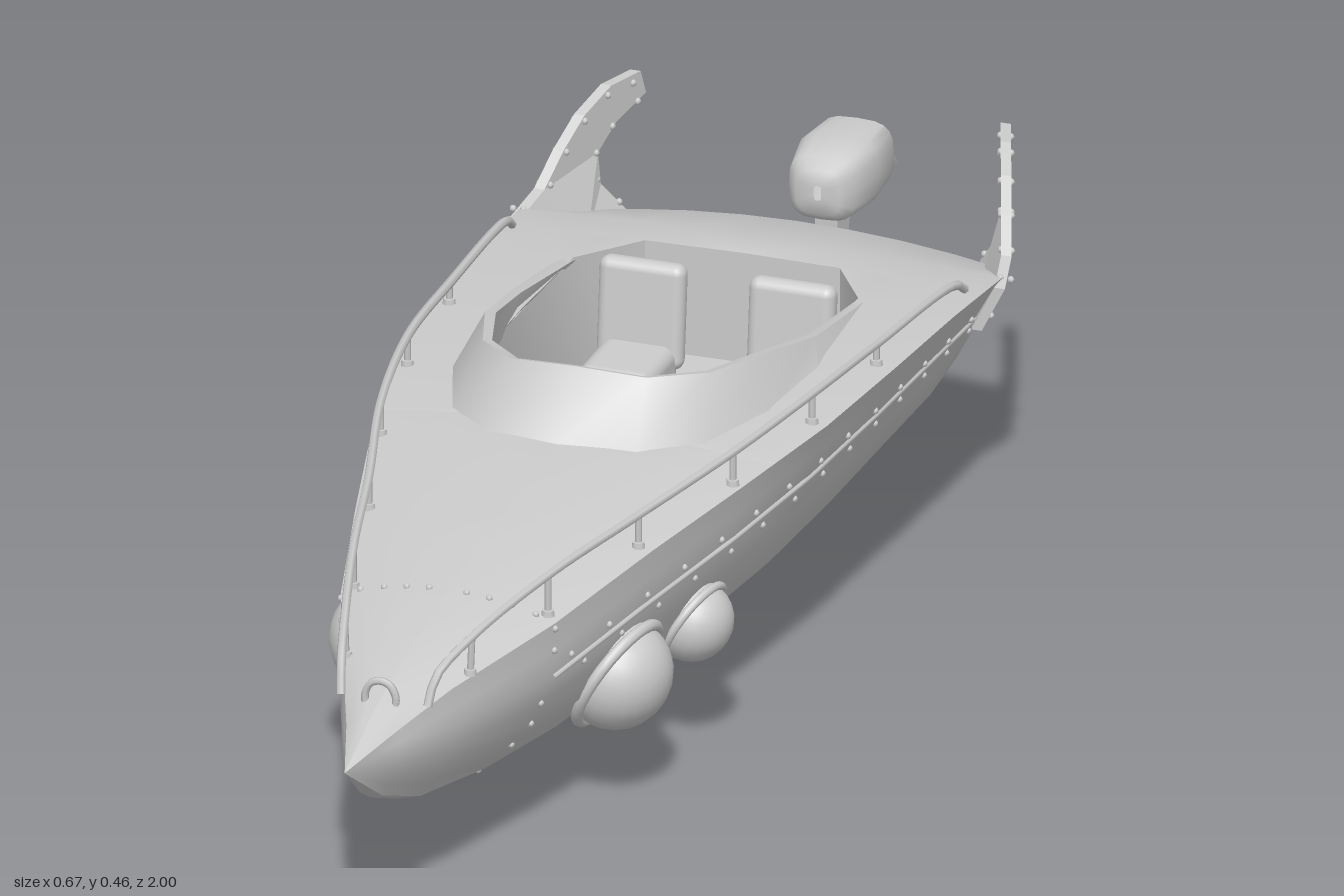
import * as THREE from 'three';
import { mergeGeometries, toCreasedNormals } from 'three/addons/utils/BufferGeometryUtils.js';
import { RoundedBoxGeometry } from 'three/addons/geometries/RoundedBoxGeometry.js';

const grey = new THREE.MeshStandardMaterial({ color: 0xcccccc });
const greySheet = new THREE.MeshStandardMaterial({ color: 0xcccccc, side: THREE.DoubleSide });
const V = (x, y, z) => new THREE.Vector3(x, y, z);
const lerp = THREE.MathUtils.lerp;

// Hull stations: z, keel y, then chine, bilge, seam and sheer as x,y pairs, deck centre y
const STATIONS = [
  [1.0, .26, 0, .26, 0, .26, 0, .26, 0, .26, .26],
  [.9, .185, .015, .19, .03, .22, .038, .25, .033, .28, .297],
  [.8, .142, .03, .15, .06, .195, .076, .25, .072, .303, .322],
  [.61, .095, .05, .112, .107, .175, .14, .25, .143, .325, .35],
  [.4, .075, .07, .085, .152, .165, .19, .27, .198, .345, .366],
  [.2, .067, .085, .07, .19, .165, .235, .283, .248, .357, .378],
  [0, .064, .095, .065, .212, .165, .266, .29, .29, .364, .38],
  [-.2, .062, .1, .063, .222, .165, .28, .29, .31, .363, .376],
  [-.4, .061, .1, .062, .226, .165, .286, .285, .318, .352, .362],
  [-.57, .06, .1, .06, .226, .16, .286, .275, .322, .335, .343],
  [-.7, .06, .1, .06, .215, .155, .265, .25, .285, .285, .312],
  [-.765, .06, .1, .06, .197, .145, .235, .222, .245, .245, .276],
  [-.78, .075, .095, .075, .19, .145, .225, .215, .233, .235, .262],
];
// Cockpit opening: z and half width
const OPENING = [[.131, 0], [.13, .04], [.11, .09], [.05, .15], [-.1, .188], [-.4, .19], [-.5, .13], [-.501, 0]];

function sample(table, z) {
  let i = 0;
  while (i < table.length - 2 && table[i + 1][0] > z) i++;
  const a = table[i], b = table[i + 1];
  const t = THREE.MathUtils.clamp((a[0] - z) / (a[0] - b[0]), 0, 1);
  return a.map((v, k) => lerp(v, b[k], t));
}
// Point on the left hull side; t runs 0 keel, 1 chine, 2 bilge, 3 seam, 4 sheer
function hullPoint(z, t) {
  const s = sample(STATIONS, z);
  const p = [[0, s[1]], [s[2], s[3]], [s[4], s[5]], [s[6], s[7]], [s[8], s[9]]];
  const i = Math.min(3, Math.floor(t)), f = t - i;
  return V(lerp(p[i][0], p[i + 1][0], f), lerp(p[i][1], p[i + 1][1], f), z);
}
function deckPoint(z, x) {
  const s = sample(STATIONS, z), f = s[8] > 0 ? x / s[8] : 0;
  return V(x, lerp(s[10], s[9], f * f), z);
}
const flip = p => V(-p.x, p.y, p.z);

// Skin through rows of points, all rows of equal length
function loft(rows, crease = .65) {
  const out = [];
  const tri = (...ps) => {
    const area = ps[1].clone().sub(ps[0]).cross(ps[2].clone().sub(ps[0])).length();
    if (area > 1e-9) ps.forEach(p => out.push(p.x, p.y, p.z));
  };
  for (let i = 0; i < rows.length - 1; i++) for (let j = 0; j < rows[i].length - 1; j++) {
    const a = rows[i][j], b = rows[i][j + 1], c = rows[i + 1][j], d = rows[i + 1][j + 1];
    tri(a, c, b); tri(b, c, d);
  }
  const g = new THREE.BufferGeometry();
  g.setAttribute('position', new THREE.Float32BufferAttribute(out, 3));
  return toCreasedNormals(g, crease);
}
// Plate drawn as z,y points, with its thickness along x
function plate(points, width) {
  const shape = new THREE.Shape(points.map(([z, y]) => new THREE.Vector2(-z, y)));
  return new THREE.ExtrudeGeometry(shape, { depth: width, bevelEnabled: false })
    .translate(0, 0, -width / 2).rotateY(Math.PI / 2);
}
function add(parent, name, geometry, x = 0, y = 0, z = 0, material = grey) {
  const m = new THREE.Mesh(geometry, material);
  m.name = name;
  m.position.set(x, y, z);
  parent.add(m);
  return m;
}
const tube = (pts, r, n = 40) => new THREE.TubeGeometry(new THREE.CatmullRomCurve3(pts), n, r, 6);
const rivets = pts => mergeGeometries(pts.map(p => new THREE.SphereGeometry(.0048, 6, 5).translate(p.x, p.y, p.z)));

// Everything that appears on both sides, built for the left
function buildSide(name) {
  const g = new THREE.Group();
  g.name = name;

  // Deck from sheer to cockpit edge or centreline
  const zs = [...new Set([...STATIONS.map(s => s[0]), ...OPENING.map(o => o[0])])].sort((a, b) => b - a);
  add(g, 'deck', loft(zs.map(z => {
    const inner = sample(OPENING, z)[1], outer = sample(STATIONS, z)[8];
    return [0, .25, .5, .75, 1].map(t => deckPoint(z, lerp(outer, inner, t)));
  })), 0, 0, 0, greySheet);

  // Seam strip and the rivets beside it
  const seam = [], studs = [];
  for (let i = 0; i <= 20; i++) seam.push(hullPoint(lerp(.61, -.75, i / 20), 3));
  add(g, 'seamStrip', tube(seam, .004, 60));
  for (let z = .57; z > -.55; z -= .085) studs.push(hullPoint(z, 3.18), hullPoint(z - .04, 2.82));
  [.8, 1.6, 2.1, 2.5, 3.5, 3.9].forEach(t => studs.push(hullPoint(.61, t)));
  [.025, .055, .085, .117].forEach(x => studs.push(deckPoint(.61, x)));
  add(g, 'hullRivets', rivets(studs));

  // Hand rail on posts
  const rail = [[.058, .298, .85], [.063, .332, .835], [.085, .36, .76], [.13, .385, .6], [.18, .392, .4],
    [.235, .403, .2], [.27, .405, 0], [.285, .392, -.2], [.3, .368, -.46], [.302, .352, -.485]].map(p => V(...p));
  add(g, 'handRail', tube(rail, .006, 60));
  rail.slice(2, 8).forEach(p => {
    const foot = deckPoint(p.z, Math.min(p.x, sample(STATIONS, p.z)[8] - .004));
    add(g, 'railPost', tube([foot, p], .0045, 1));
    add(g, 'railFoot', new THREE.CylinderGeometry(.008, .009, .008, 8), foot.x, foot.y + .003, foot.z);
  });

  // Domed side lamps
  [[.41, .155, .175, .08], [.23, .193, .178, .058]].forEach(([z, x, y, r]) => {
    const lamp = new THREE.Group();
    lamp.name = 'sideLamp';
    lamp.position.set(x, y, z);
    lamp.quaternion.setFromUnitVectors(V(0, 0, 1), V(.86, -.47, .18).normalize());
    add(lamp, 'lampRing', new THREE.TorusGeometry(r * .96, r * .1, 8, 28));
    add(lamp, 'lampDome', new THREE.SphereGeometry(r * .92, 24, 14)).scale.z = .95;
    g.add(lamp);
  });

  // Swept riveted fin that follows the hull flare, then leans inward
  const finX = (z, y) => .328 + Math.min(0, z + .57) * .36 - Math.max(0, .335 - y) * .5;
  const outline = [[-.555, .265], [-.555, .327], [-.615, .345], [-.65, .385], [-.69, .42], [-.74, .443], [-.795, .443],
    [-.805, .41], [-.75, .39], [-.715, .36], [-.71, .32], [-.73, .28], [-.65, .27]];
  const fin = plate(outline, .014);
  const pos = fin.attributes.position;
  for (let i = 0; i < pos.count; i++) pos.setX(i, pos.getX(i) + finX(pos.getZ(i), pos.getY(i)));
  fin.computeVertexNormals();
  add(g, 'fin', fin, 0, 0, 0, greySheet);
  const finStuds = [];
  outline.forEach(([z, y]) => {
    const zi = lerp(z, -.69, .14), yi = lerp(y, .365, .14);
    [-.007, .007].forEach(o => finStuds.push(V(finX(zi, yi) + o, yi, zi)));
  });
  add(g, 'finRivets', rivets(finStuds));

  // Seat
  const back = add(g, 'seatBack', new RoundedBoxGeometry(.115, .14, .03, 3, .014), .1, .295, -.405);
  back.rotation.x = -.1;
  add(g, 'seatCushion', new RoundedBoxGeometry(.1, .06, .12, 3, .018), .1, .23, -.345);
  return g;
}

function buildMotor() {
  const g = new THREE.Group();
  g.name = 'outboardMotor';
  // Cowl rings: z, half width, bottom, top
  const rings = [[-.783, .005, .305, .325], [-.785, .03, .285, .345], [-.80, .044, .272, .358], [-.86, .055, .268, .364],
    [-.93, .05, .268, .358], [-.957, .04, .268, .315], [-.998, .03, .267, .28], [-1, .004, .272, .275]];
  add(g, 'cowl', loft(rings.map(([z, w, lo, hi]) => Array.from({ length: 21 }, (_, i) => {
    const a = -Math.PI / 2 + i / 20 * Math.PI * 2, sq = v => Math.sign(v) * Math.abs(v) ** .6;
    return V(w * sq(Math.cos(a)), (lo + hi) / 2 + (hi - lo) / 2 * sq(Math.sin(a)), z);
  })), .8), 0, 0, 0, greySheet);
  add(g, 'leg', plate([[-.815, .275], [-.87, .275], [-.848, .2], [-.856, .14], [-.91, .078], [-.905, .07],
    [-.815, .07], [-.832, .15], [-.82, .2]], .03));
  add(g, 'mount', new RoundedBoxGeometry(.06, .075, .05, 2, .01), 0, .215, -.8);
  add(g, 'strut', new THREE.BoxGeometry(.014, .065, .025), 0, .05, -.83);
  add(g, 'propellerHub', new THREE.CylinderGeometry(.008, .008, .075, 10).rotateX(Math.PI / 2), 0, .025, -.848);
  for (let i = 0; i < 3; i++) {
    const blade = new THREE.SphereGeometry(1, 10, 8).scale(.011, .018, .003).rotateY(.5).translate(0, .024, 0);
    add(g, 'propellerBlade', blade, 0, .024, -.87).rotation.z = i * Math.PI * 2 / 3;
  }
  return g;
}

export function createModel() {
  const boat = new THREE.Group();
  boat.name = 'speedboat';

  // Hull shell and transom
  const levels = [4, 3.5, 3, 2.5, 2, 1.5, 1, .5, 0];
  const ring = z => [...levels.map(t => flip(hullPoint(z, t))), ...levels.slice(0, -1).reverse().map(t => hullPoint(z, t))];
  add(boat, 'hull', loft(STATIONS.map(s => ring(s[0])), .6), 0, 0, 0, greySheet);
  const sternX = STATIONS.at(-1)[8];
  const stern = [...ring(-.78), ...[.75, .5, .25, 0].map(f => deckPoint(-.78, f * sternX)),
    ...[.25, .5, .75, 1].map(f => flip(deckPoint(-.78, f * sternX)))];
  add(boat, 'transom', loft([stern, stern.map(() => V(0, .16, -.785))]), 0, 0, 0, greySheet);

  // Cockpit tub: walls and floor
  const rim = OPENING.map(([z, w]) => deckPoint(z, w));
  const loop = [...rim, ...rim.slice().reverse().map(flip)];
  add(boat, 'cockpitTub', loft([loop, loop.map(p => V(p.x, .2, p.z)), loop.map(() => V(0, .2, -.2))]), 0, 0, 0, greySheet);

  // Dashboard, gauges and wheel
  add(boat, 'dashboard', loft([[.13, .04, .372], [.11, .09, .37], [.05, .15, .36], [-.09, .186, .335], [-.105, .188, .32],
    [-.095, .188, .2]].map(([z, w, y]) => [V(w, y, z), V(0, y, z), V(-w, y, z)])), 0, 0, 0, greySheet);
  [.005, .035, .065].forEach(x => add(boat, 'gauge', new THREE.CylinderGeometry(.011, .011, .014, 14).rotateX(Math.PI / 2), x, .3, -.106));
  const wheel = new THREE.Group();
  wheel.name = 'steeringWheel';
  wheel.position.set(.11, .3, -.125);
  wheel.rotation.x = .4;
  add(wheel, 'wheelRim', new THREE.TorusGeometry(.03, .005, 8, 24));
  add(wheel, 'wheelColumn', new THREE.CylinderGeometry(.007, .007, .04, 8).rotateX(Math.PI / 2), 0, 0, .015);
  for (let i = 0; i < 3; i++) add(wheel, 'wheelSpoke', new THREE.BoxGeometry(.006, .03, .005).translate(0, .015, 0)).rotation.z = Math.PI / 3 + i * Math.PI * 2 / 3;
  boat.add(wheel);

  // Wraparound windshield: base x,z then top x,y,z for the left half
  const screen = [[0, .2, 0, .46, .135], [.1, .183, .09, .45, .118], [.17, .12, .152, .438, .05], [.212, 0, .188, .425, -.06],
    [.225, -.15, .205, .392, -.2], [.21, -.4, .2, .357, -.4]].map(([bx, bz, tx, ty, tz]) => {
    const base = deckPoint(bz, bx).add(V(0, -.004, 0)), top = V(tx, ty, tz);
    const inner = V(tx * .94, ty - .003, tz - .01), foot = deckPoint(tz, tx * .96).add(V(0, -.01, 0));
    return [foot, inner, top, base];
  });
  add(boat, 'windshield', loft([...screen.slice(1).reverse().map(r => r.map(flip)), ...screen], .7), 0, 0, 0, greySheet);

  // Bow mooring loop
  add(boat, 'bowLoop', tube([[-.02, .295], [-.02, .313], [-.012, .327], [0, .331], [.012, .327], [.02, .313], [.02, .295]]
    .map(([x, y]) => V(x, y, .865)), .005, 24));

  const left = buildSide('leftSide'), right = buildSide('rightSide');
  right.scale.x = -1;
  boat.add(left, right, buildMotor());
  return boat;
}
